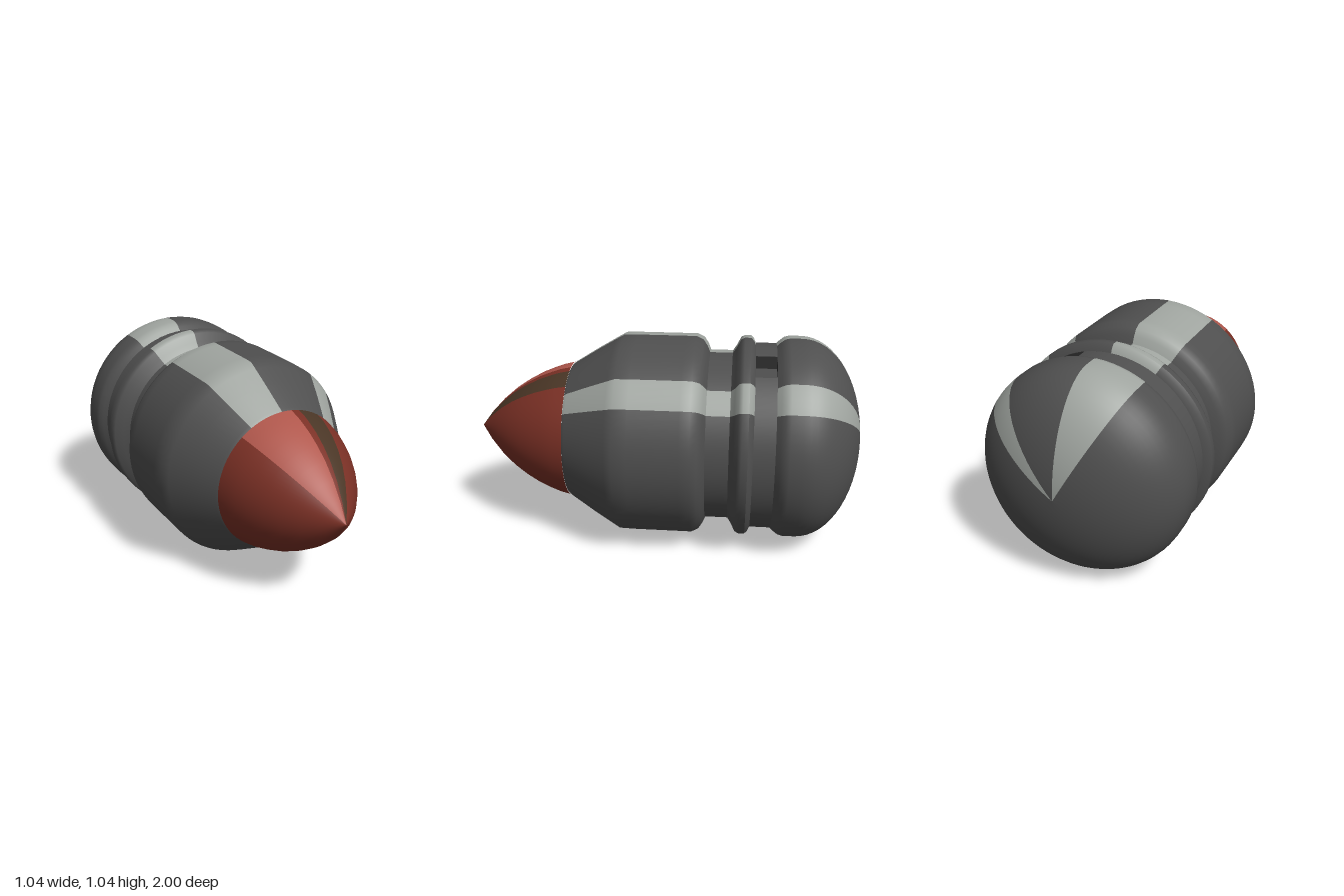
import * as THREE from 'three';

const mat = (name, color, side = THREE.FrontSide) => {
  const m = new THREE.MeshStandardMaterial({ color, side });
  m.name = name;
  return m;
};

export function createModel() {
  const grey = mat('dark grey', 0x4f4f4f, THREE.DoubleSide);
  const pale = mat('pale grey', 0xa0a5a0);
  const shade = mat('charcoal', 0x303030, THREE.DoubleSide);
  const red = mat('deep red', 0x7a3025);
  const rose = mat('light red', 0xb0574c);
  const brown = mat('brown', 0x4a3626);
  const CY = 0.525;
  const model = new THREE.Group();

  // Angles in degrees, counter-clockwise from +x seen from the front
  const bodySectors = [[33, 50, pale], [50, 92, grey], [92, 120, pale], [120, 393, grey]];
  const grooveSectors = [[75.5, 417, grey]];
  const noseSectors = [[57.5, 77, brown], [77, 84, red], [84, 130, rose], [130, 417.5, red]];

  // Turned part along z, from [z, radius] pairs running back to front
  function turned(name, profile, sectors) {
    const part = new THREE.Group();
    part.name = name;
    const pts = profile.map(([z, r]) => new THREE.Vector2(r, z));
    for (const [a, b, material] of sectors) {
      const g = new THREE.LatheGeometry(pts, Math.ceil((b - a) / 5),
        THREE.MathUtils.degToRad(a + 90), THREE.MathUtils.degToRad(b - a));
      g.rotateX(Math.PI / 2);
      const mesh = new THREE.Mesh(g, material);
      mesh.name = name + 'Sector';
      part.add(mesh);
    }
    part.position.y = CY;
    model.add(part);
  }

  // Rounded rear dome with its flared lip
  const dome = [];
  for (let i = 0; i <= 16; i++) {
    const t = (i / 16) * Math.PI / 2;
    dome.push([-0.68 - 0.32 * Math.cos(t), 0.522 * Math.sin(t)]);
  }
  turned('rearDome', [...dome, [-0.62, 0.522], [-0.595, 0.515], [-0.575, 0.5], [-0.555, 0.482]], bodySectors);

  // Rear groove, ridge and front groove
  turned('rearGroove', [[-0.555, 0.482], [-0.45, 0.482]], grooveSectors);
  turned('ridgeBack', [[-0.45, 0.482], [-0.44, 0.505], [-0.425, 0.52]], bodySectors);
  turned('ridge', [[-0.425, 0.52], [-0.395, 0.52], [-0.375, 0.51], [-0.355, 0.47], [-0.335, 0.44]], bodySectors);
  turned('frontGroove', [[-0.335, 0.44], [-0.22, 0.44]], bodySectors);

  // Main body, tapered front and closing disc
  turned('shoulder', [[-0.22, 0.44], [-0.205, 0.475], [-0.185, 0.505], [-0.15, 0.522], [-0.1, 0.522],
    [0.15, 0.522], [0.22, 0.52], [0.26, 0.497], [0.36, 0.438], [0.48, 0.363], [0.495, 0.35]], bodySectors);
  turned('frontDisc', [[0.495, 0.35], [0.495, 0]], [[0, 360, grey]]);

  // Pointed nose
  turned('nose', [[0.494, 0.356], [0.55, 0.343], [0.6, 0.325], [0.66, 0.3], [0.73, 0.262], [0.8, 0.215],
    [0.87, 0.155], [0.94, 0.08], [1, 0]], noseSectors);

  // Small square notch cut into the rear groove
  const notch = new THREE.Group();
  notch.name = 'notch';
  notch.position.y = CY;
  const floor = new THREE.Mesh(new THREE.BoxGeometry(0.142, 0.004, 0.105), grey);
  floor.name = 'notchFloor';
  floor.position.set(0.191, 0.402, -0.5025);
  const wall = new THREE.Mesh(new THREE.BoxGeometry(0.004, 0.064, 0.105), shade);
  wall.name = 'notchWall';
  wall.position.set(0.119, 0.434, -0.5025);
  notch.add(floor, wall);
  const cheek = new THREE.Shape([[0.12, 0.402], [0.262, 0.402], [0.195, 0.44], [0.12, 0.466]]
    .map(([x, y]) => new THREE.Vector2(x, y)));
  for (const z of [-0.555, -0.45]) {
    const side = new THREE.Mesh(new THREE.ShapeGeometry(cheek), shade);
    side.name = 'notchCheek';
    side.position.z = z;
    notch.add(side);
  }
  model.add(notch);
  return model;
}
